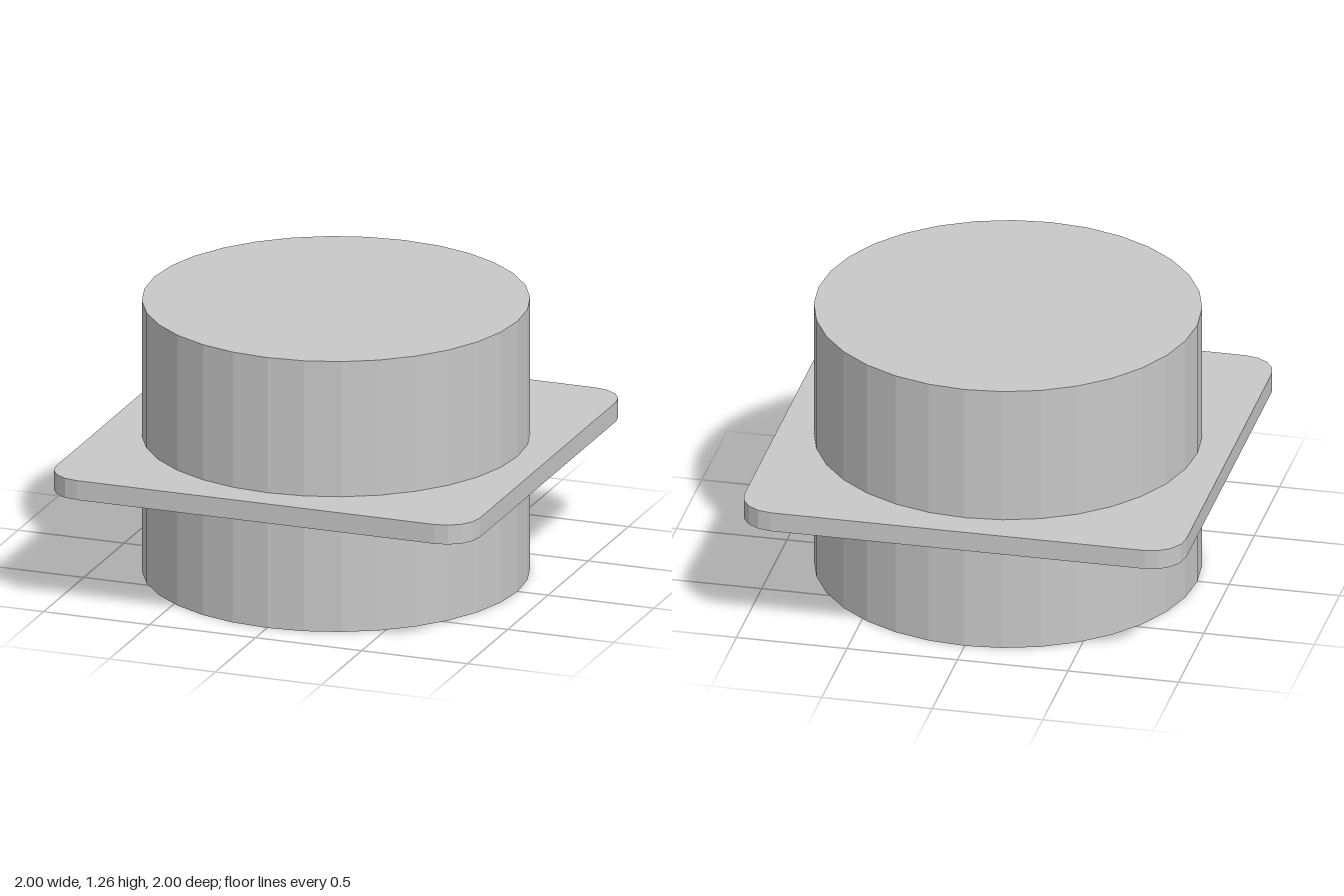
import * as THREE from 'three';

export function createModel() {
  const model = new THREE.Group();
  const grey = new THREE.MeshStandardMaterial({ color: 0xc8c8c8, flatShading: true });
  grey.name = 'light grey';

  // Solid drum running through the flange
  const height = 1.26;
  const drum = new THREE.Mesh(new THREE.CylinderGeometry(0.857, 0.857, height, 32), grey);
  drum.name = 'drum';
  drum.position.y = height / 2;
  model.add(drum);

  // Square flange with rounded corners
  const r = 0.155, c = 1 - r;
  const outline = new THREE.Shape();
  [[c, c], [-c, c], [-c, -c], [c, -c]].forEach(([x, y], i) => {
    outline.absarc(x, y, r, i * Math.PI / 2, (i + 1) * Math.PI / 2, false);
  });
  outline.closePath();
  const plate = new THREE.ExtrudeGeometry(outline, { depth: 0.09, bevelEnabled: false, curveSegments: 2 });
  plate.rotateX(-Math.PI / 2);
  const flange = new THREE.Mesh(plate, grey);
  flange.name = 'flange';
  flange.position.y = 0.54;
  model.add(flange);

  return model;
}
